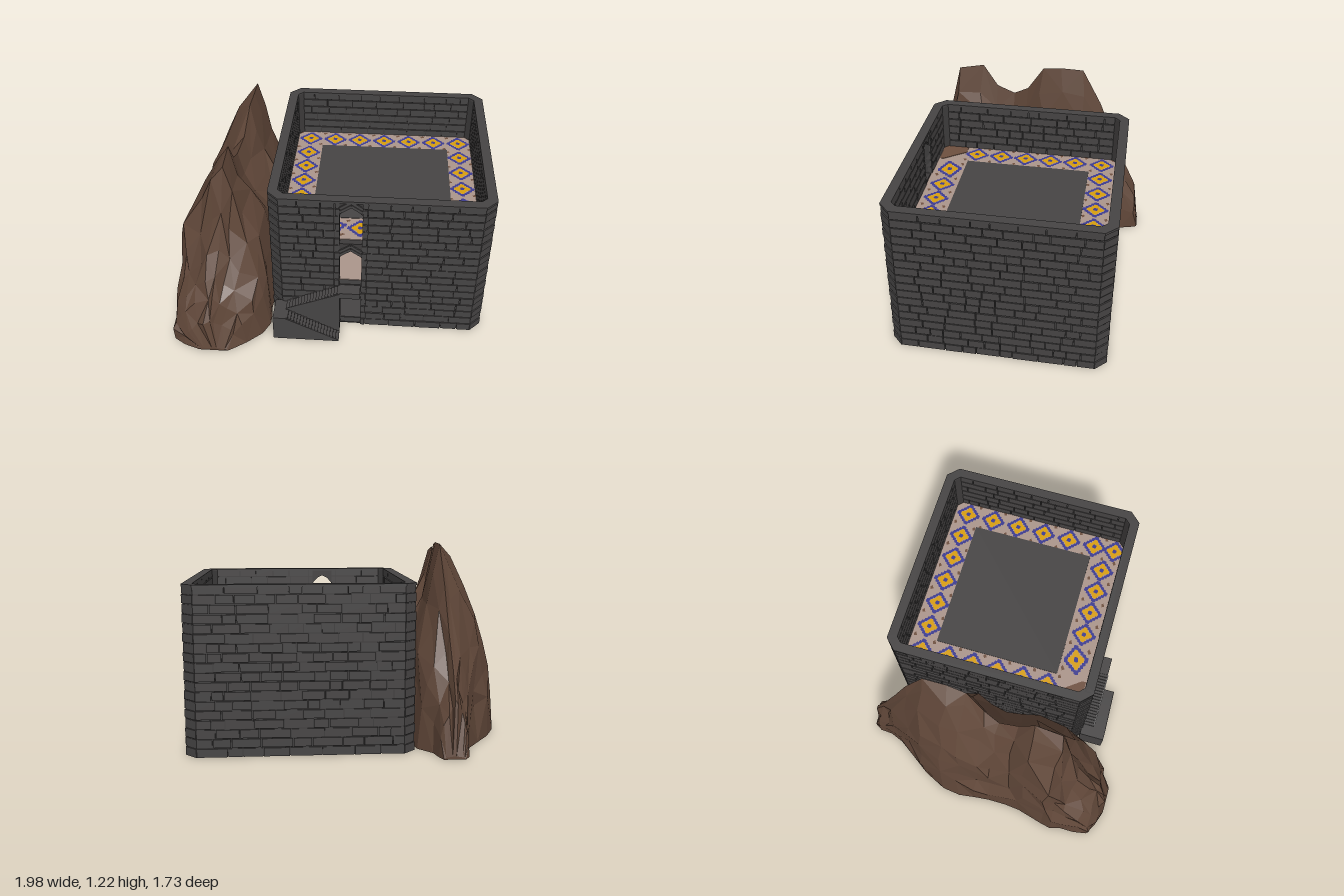
import * as THREE from 'three';
import { mergeGeometries } from 'three/addons/utils/BufferGeometryUtils.js';

const mat = (name, color, extra = {}) => {
  const m = new THREE.MeshStandardMaterial({ color, ...extra });
  m.name = name;
  return m;
};

// Tower footprint: centre, half sizes, corner chamfer, wall thickness
const CX = 0.322, CZ = -0.078, HX = 0.672, HZ = 0.657, CH = 0.068, TH = 0.06;
const ROWS = 18, ROW_H = 1 / ROWS, DOOR_X = 0.15, DOOR_W = 0.068;
const LEVELS = [0.012, 0.345, 0.675];

function seeded(seed) {
  return () => (seed = (seed * 16807) % 2147483647) / 2147483647;
}

// Box given by its min/max corners
function box(x0, x1, y0, y1, z0, z1) {
  return new THREE.BoxGeometry(x1 - x0, y1 - y0, z1 - z0)
    .translate((x0 + x1) / 2, (y0 + y1) / 2, (z0 + z1) / 2);
}

const vectors = points => points.map(([x, y]) => new THREE.Vector2(x, y));
const polygon = points => new THREE.Shape(vectors(points));
const extrude = (shape, depth) => new THREE.ExtrudeGeometry(shape, { depth, bevelEnabled: false });

// Diamond outline with a stepped edge, counter-clockwise
function steppedDiamond(r, steps) {
  const pts = [];
  for (let q = 0; q < 4; q++) for (let i = 0; i < steps; i++) {
    const a = r * (1 - i / steps), b = r * i / steps, c = Math.cos(q * Math.PI / 2), s = Math.sin(q * Math.PI / 2);
    for (const [x, y] of [[a, b], [a, b + r / steps * 0.7]]) pts.push([x * c - y * s, x * s + y * c]);
  }
  return pts;
}

export function createModel() {
  const root = new THREE.Group();
  const rnd = seeded(4711);
  const stone = mat('stone', 0x464444);
  const mortar = mat('mortar', 0x3d3b3b);
  const rock = mat('rock', 0x5f4638, { flatShading: true });
  const tilePale = mat('pale tile', 0xab958b);
  const blue = mat('tile blue', 0x3c3b90);
  const yellow = mat('tile yellow', 0xd89e0c);
  const brown = mat('tile brown', 0x6e503f);

  const add = (name, geos, material) => {
    const list = [].concat(geos).map(g => (g.index ? g.toNonIndexed() : g));
    const mesh = new THREE.Mesh(mergeGeometries(list), material);
    mesh.name = name;
    root.add(mesh);
  };

  // Four walls: mortar core, brick courses outside and inside, smooth cap
  const core = [], bricks = [], caps = [];
  const brickRow = (u0, u1, y, z0, z1, put) => {
    let u = u0;
    while (u < u1 - 0.001) {
      let w = 0.07 + rnd() * 0.12;
      if (u1 - u - w < 0.06) w = u1 - u;
      put(box(u + 0.003, u + w - 0.003, y + 0.003, y + ROW_H - 0.003, z0, z1 - rnd() * 0.004));
      u += w;
    }
  };
  for (let side = 0; side < 4; side++) {
    const front = side === 0;
    const d = side % 2 ? HX : HZ, half = (side % 2 ? HZ : HX) - CH;
    const place = list => g => list.push(g.rotateY(side * Math.PI / 2).translate(CX, 0, CZ));
    const putCore = place(core), putBrick = place(bricks);
    const door = DOOR_X - CX;
    if (front) {
      const wall = polygon([[-half, 0.004], [half, 0.004], [half, 0.99], [-half, 0.99]]);
      for (const y of LEVELS) {
        wall.holes.push(new THREE.Path(vectors(
          [[-1, 0], [-1, 0.22], [-0.5, 0.258], [0, 0.275], [0.5, 0.258], [1, 0.22], [1, 0]].map(([x, h]) => [door + x * DOOR_W, y + h]))));
      }
      putCore(extrude(wall, TH - 0.02).translate(0, 0, d - TH + 0.01));
    } else {
      putCore(box(-half, half, 0.004, 0.99, d - TH + 0.01, d - 0.01));
    }
    place(caps)(box(-half, half, 0.985, 1, d - TH, d));
    for (let r = 0; r < ROWS; r++) {
      const y = r * ROW_H;
      const spans = front ? [[-half, door - 0.097], [door + 0.097, half]] : [[-half, half]];
      for (const [a, b] of spans) {
        brickRow(a, b, y, d - 0.014, d, putBrick);
        brickRow(a, b, y, d - TH, d - TH + 0.014, putBrick);
      }
      // Door jamb blocks
      if (front) for (const s of [-1, 1]) {
        const c = door + s * (DOOR_W + 0.014);
        putBrick(box(c - 0.014, c + 0.014, y + 0.003, y + ROW_H - 0.003, d - TH, d - (r % 2) * 0.004));
      }
    }
  }

  // Chamfered corner blocks
  for (const sx of [-1, 1]) for (const sz of [-1, 1]) {
    const place = g => g.rotateY(Math.atan2(sx, sz)).translate(CX + sx * (HX - CH / 2), 0, CZ + sz * (HZ - CH / 2));
    core.push(place(box(-0.044, 0.044, 0.004, 0.99, -TH, -0.008)));
    caps.push(place(box(-0.048, 0.048, 0.985, 1, -TH, 0)));
    for (let r = 0; r < ROWS; r++) {
      bricks.push(place(box(-0.048, 0.048, r * ROW_H + 0.003, (r + 1) * ROW_H - 0.003, -0.05, -(r % 2) * 0.004)));
    }
  }
  add('wallCore', core, mortar);
  add('wallBricks', bricks, stone);
  add('wallCap', caps, stone);

  // Pointed lintels over the doors
  const lintels = [];
  for (const y of LEVELS) for (const s of [-1, 1]) for (const k of [0, 1]) {
    lintels.push(new THREE.BoxGeometry(0.084, 0.018, 0.016).rotateZ(-s * 0.6)
      .translate(DOOR_X + s * 0.034, y + 0.268 + k * 0.025, CZ + HZ - 0.008));
  }
  add('doorLintels', lintels, stone);

  // Floors: ground slabs with a pale border, a pale middle floor, a bordered top floor
  const X0 = CX - HX + TH - 0.005, X1 = CX + HX - TH + 0.005, Z0 = CZ - HZ + TH - 0.005, Z1 = CZ + HZ - TH + 0.005;
  add('groundBorder', [box(X0, -0.11, 0.002, 0.012, Z0, Z1), box(-0.11, X1, 0.002, 0.012, Z0, -0.5)], tilePale);
  const slabs = [];
  for (let i = 0; i < 3; i++) for (let j = 0; j < 3; j++) {
    const w = (X1 + 0.11) / 3, l = (Z1 + 0.5) / 3;
    slabs.push(box(-0.11 + i * w + 0.002, -0.11 + (i + 1) * w, 0, 0.012, -0.5 + j * l + 0.002, -0.5 + (j + 1) * l));
  }
  add('groundSlabs', slabs, stone);
  for (const y of LEVELS.slice(1)) add('paleFloor', box(X0, X1, y - 0.02, y, Z0, Z1), tilePale);
  add('topFloorMiddle', box(-0.11, 0.77, LEVELS[2] - 0.022, LEVELS[2] + 0.003, -0.5, 0.32), stone);

  // Painted flower tiles round the top floor: [x, z, turn, stretch]
  const tiles = [];
  for (let i = 0; i < 7; i++) tiles.push([-0.2 + i * 0.175, -0.58]);
  for (let i = 0; i < 5; i++) tiles.push([-0.2, -0.4 + i * 0.168], [0.85, -0.4 + i * 0.182]);
  for (let i = 0; i < 4; i++) tiles.push([0.2 + i * 0.162, 0.42]);
  tiles.push([0.85, 0.47], [0.015, 0.415, 0.25, 1.3]);
  const ring = polygon(steppedDiamond(0.08, 5));
  ring.holes.push(new THREE.Path(vectors(steppedDiamond(0.055, 4))));
  const flower = polygon(Array.from({ length: 24 }, (_, i) => {
    const a = i / 24 * Math.PI * 2, r = 0.044 + 0.01 * Math.cos(4 * a);
    return [r * Math.cos(a), r * Math.sin(a)];
  }));
  const heart = polygon(steppedDiamond(0.014, 1));
  const spot = polygon([[0.016, 0], [0.004, 0.012], [-0.014, 0.006], [-0.008, -0.012]]);
  const rings = [], flowers = [], hearts = [], spots = [];
  for (const [x, z, turn = 0, stretch = 1] of tiles) {
    const put = (list, shape, lift, dx = 0, dz = 0) => list.push(new THREE.ShapeGeometry(shape).rotateX(-Math.PI / 2)
      .scale(stretch, 1, 1).rotateY(turn).translate(x + dx, LEVELS[2] + lift, z + dz));
    put(rings, ring, 0.003);
    put(flowers, flower, 0.004);
    put(hearts, heart, 0.006);
    for (const s of [-1, 1]) put(spots, spot, 0.002, s * 0.076, s * 0.07);
  }
  add('tileDiamonds', rings, blue);
  add('tileFlowers', flowers, yellow);
  add('tileHearts', hearts, blue);
  add('tileSpots', spots, brown);
  const patch = polygon([[-0.285, -0.515], [-0.115, -0.515], [-0.115, -0.49], [-0.22, -0.35], [-0.285, -0.35]]);
  add('cornerPatch', extrude(patch, 0.003).rotateX(-Math.PI / 2).translate(0, LEVELS[2], 0), brown);

  // Switchback stair: two flights with side panels, a turning landing and a door platform
  const flight = (xa, ya, xb, yb, z0, z1) => {
    const n = 18, pts = [[xa, 0.002]];
    for (let i = 0; i < n; i++) {
      const y = ya + (yb - ya) * (i + 1) / n;
      pts.push([xa + (xb - xa) * i / n, y], [xa + (xb - xa) * (i + 1) / n, y]);
    }
    pts.push([xb, 0.002]);
    const panel = polygon([[xa, 0.002], [xa, ya + 0.01], [xb, yb], [xb, 0.002]]);
    return [extrude(polygon(pts), z1 - z0 - 0.006).translate(0, 0, z0), extrude(panel, 0.006).translate(0, 0, z1 - 0.006)];
  };
  add('lowerFlight', flight(0.09, 0.002, -0.25, 0.18, 0.655, 0.735), stone);
  add('upperFlight', flight(-0.25, 0.18, 0.09, 0.335, 0.57, 0.655), stone);
  add('turnLanding', box(-0.325, -0.25, 0.002, 0.18, 0.57, 0.735), stone);
  add('doorPlatform', box(0.09, 0.215, 0.295, 0.338, 0.565, 0.65), stone);

  // Rocky crag: cross-sections along z [z, left x, right x, ridge x, height]
  const sections = [
    [0.865, -0.78, -0.6, -0.68, 0.02], [0.83, -0.88, -0.55, -0.7, 0.22], [0.785, -0.95, -0.49, -0.68, 0.37],
    [0.7, -0.965, -0.4, -0.67, 0.47], [0.61, -0.965, -0.36, -0.65, 0.61], [0.54, -0.985, -0.36, -0.63, 0.84],
    [0.47, -0.97, -0.37, -0.61, 1.13], [0.3, -0.925, -0.36, -0.605, 1.165], [0.2, -0.915, -0.355, -0.6, 1.02],
    [0.08, -0.915, -0.35, -0.6, 0.97], [-0.02, -0.925, -0.35, -0.57, 1.03], [-0.13, -0.94, -0.35, -0.54, 1.2],
    [-0.25, -0.925, -0.35, -0.53, 1.215], [-0.4, -0.855, -0.35, -0.53, 1.21], [-0.53, -0.765, -0.355, -0.54, 0.97],
    [-0.64, -0.69, -0.37, -0.55, 0.7], [-0.73, -0.655, -0.45, -0.56, 0.5], [-0.81, -0.65, -0.47, -0.56, 0.34],
    [-0.86, -0.62, -0.49, -0.55, 0.02],
  ];
  const leftSide = [[0, 0], [0.04, 0.22], [0.13, 0.33], [0.21, 0.5], [0.3, 0.6], [0.55, 0.78], [0.82, 0.92]];
  const rightSide = [[0.85, 0.85], [0.55, 0.72], [0.22, 0.57], [0.11, 0.36], [0, 0]];
  const loops = sections.map(([z, xl, xr, xm, h], s) => {
    const rough = s > 0 && s < sections.length - 1 ? 1 : 0;
    const bulge = z > 0.5 ? 0.85 : 1; // low front shoulder has steeper sides
    const point = edge => ([f, g]) => {
      const j = g > 0 ? rough : 0;
      const x = edge + (xm - edge) * Math.max(0, f + (f > 0 ? (rnd() - 0.5) * 0.16 * j : 0));
      return [x, (g ** bulge + (rnd() - 0.5) * 0.05 * j) * h, z + (rnd() - 0.5) * 0.05 * j];
    };
    return [...leftSide.map(point(xl)), [xm, h, z], ...rightSide.map(point(xr))];
  });
  const pos = [];
  const tri = (...p) => p.forEach(v => pos.push(...v));
  for (let s = 0; s < loops.length - 1; s++) {
    const a = loops[s], b = loops[s + 1], n = a.length;
    for (let i = 0; i < n; i++) {
      const k = (i + 1) % n;
      if ((s + i) % 2) tri(a[i], a[k], b[i], a[k], b[k], b[i]);
      else tri(a[i], a[k], b[k], a[i], b[k], b[i]);
    }
  }
  // End caps
  const first = loops[0], last = loops[loops.length - 1];
  for (let i = 1; i < first.length - 1; i++) {
    tri(first[0], first[i + 1], first[i]);
    tri(last[0], last[i], last[i + 1]);
  }
  const crag = new THREE.BufferGeometry();
  crag.setAttribute('position', new THREE.Float32BufferAttribute(pos, 3));
  crag.computeVertexNormals();
  add('crag', crag, rock);

  return root;
}
